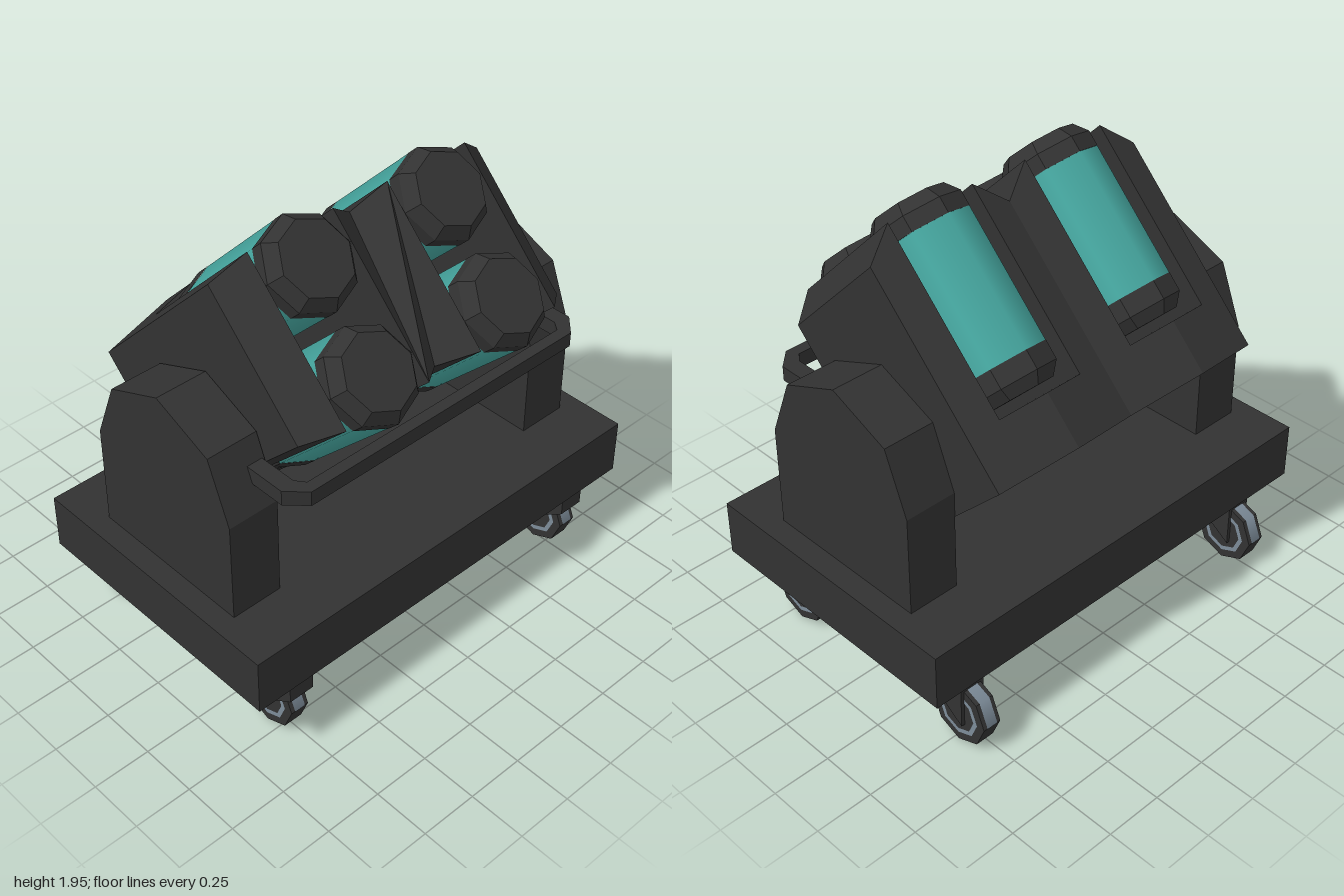
import * as THREE from 'three';

const dark = new THREE.MeshStandardMaterial({ color: 0x323232, flatShading: true });
dark.name = 'charcoal';
const teal = new THREE.MeshStandardMaterial({ color: 0x45a59e });
teal.name = 'teal';
const steel = new THREE.MeshStandardMaterial({ color: 0x7c8b98, side: THREE.DoubleSide });
steel.name = 'steel';

function add(parent, name, geometry, material) {
  const mesh = new THREE.Mesh(geometry, material);
  mesh.name = name;
  parent.add(mesh);
  return mesh;
}

function extrude(points, depth) {
  const shape = new THREE.Shape(points.map(([a, b]) => new THREE.Vector2(a, b)));
  return new THREE.ExtrudeGeometry(shape, { depth, bevelEnabled: false });
}

// Side profile given as [z, y], spanning x0 to x1
function sidePlate(points, x0, x1) {
  return extrude(points, x1 - x0).rotateY(-Math.PI / 2).translate(x1, 0, 0);
}

// Double-gabled section of the rack, with ridges above each canister column
const HALF = 0.675, RIDGE = 0.335;
const gable = (x) => 1 - Math.abs(Math.abs(x) - RIDGE) / 0.34;
const topAt = (x) => 1.24 + 0.079 * gable(x);
const bottomAt = (x) => 0.597 - 0.084 * gable(x);
const frontAt = (x) => 1.305 + 0.83 * Math.min(Math.abs(x), HALF - Math.abs(x));

function rackPiece(xs, back, front) {
  const outline = [
    ...xs.map((x) => [x, bottomAt(x)]),
    ...[...xs].reverse().map((x) => [x, topAt(x)]),
  ];
  const geometry = extrude(outline, 1);
  const p = geometry.attributes.position;
  for (let i = 0; i < p.count; i++) {
    p.setZ(i, p.getZ(i) > 0.5 ? front(p.getX(i)) : back);
  }
  geometry.computeVertexNormals();
  return geometry;
}

// Eight-sided turned part along the canister axis, profile as [radius, distance]
function turned(profile) {
  const pts = profile.map(([r, d]) => new THREE.Vector2(r, d));
  return new THREE.LatheGeometry(pts, 8).rotateX(Math.PI / 2);
}

function makeCanister() {
  const canister = new THREE.Group();
  canister.name = 'canister';
  add(canister, 'canisterRearCap', turned([[0, 0.66], [0.155, 0.66], [0.197, 0.71], [0.197, 0.79]]), dark);
  add(canister, 'canisterBody', turned([[0.196, 0.79], [0.196, 1.35]]), teal);
  add(canister, 'canisterFrontCap', turned([[0.197, 1.35], [0.197, 1.415], [0.155, 1.47], [0, 1.47]]), dark);
  return canister;
}

function makeCaster() {
  const caster = new THREE.Group();
  caster.name = 'caster';
  // Fork: solid block above, two cheeks around the wheel
  add(caster, 'casterBlock', sidePlate(
    [[-0.035, 0.2], [0.155, 0.23], [0.155, 0.345], [-0.035, 0.345]], -0.058, 0.058), dark);
  for (const s of [-1, 1]) {
    const x = s * 0.05;
    add(caster, 'casterCheek', sidePlate(
      [[-0.035, 0.1], [0.155, 0.23], [0.155, 0.345], [-0.035, 0.345]], x - 0.008, x + 0.008), dark);
  }
  const wheel = new THREE.Group();
  wheel.name = 'wheel';
  wheel.position.y = 0.142;
  caster.add(wheel);
  add(wheel, 'tyre', new THREE.CylinderGeometry(0.142, 0.142, 0.084, 8).rotateZ(Math.PI / 2), dark);
  // Thin steel strip on the upper tread and rings on both sides
  add(wheel, 'treadStrip', new THREE.CylinderGeometry(0.144, 0.144, 0.05, 4, 1, true, 0, Math.PI)
    .rotateZ(Math.PI / 2), steel);
  for (const s of [-1, 1]) {
    add(wheel, 'wheelRing', new THREE.RingGeometry(0.085, 0.105, 8)
      .rotateY(s * Math.PI / 2).translate(s * 0.044, 0, 0), steel);
  }
  return caster;
}

export function createModel() {
  const model = new THREE.Group();
  model.name = 'canisterCart';

  // Platform
  add(model, 'platform', new THREE.BoxGeometry(2, 0.245, 1.235).translate(0, 0.4675, 0.0125), dark);

  // Casters
  for (const x of [-0.762, 0.78]) {
    for (const z of [0.44, -0.52]) {
      const caster = makeCaster();
      caster.position.set(x, 0, z);
      model.add(caster);
    }
  }

  // Side supports with faceted round tops
  const supportProfile = [
    [-0.365, 0.59], [0.39, 0.59], [0.39, 1.03], [0.285, 1.29],
    [0.012, 1.405], [-0.26, 1.29], [-0.365, 1.03],
  ];
  add(model, 'leftSupport', sidePlate(supportProfile, 0.676, 0.903), dark);
  add(model, 'rightSupport', sidePlate(supportProfile, -0.907, -0.68), dark);

  // Tilted rack: solid rear block and three forward walls
  const rack = new THREE.Group();
  rack.name = 'tiltedRack';
  rack.rotation.x = -Math.PI / 4;
  model.add(rack);
  add(rack, 'rackBlock', rackPiece([-HALF, -RIDGE, 0, RIDGE, HALF], 0.392, () => 0.62), dark);
  add(rack, 'rackCentreWall', rackPiece([-0.135, 0, 0.135], 0.62, frontAt), dark);
  add(rack, 'rackLeftWall', rackPiece([0.54, HALF], 0.62, frontAt), dark);
  add(rack, 'rackRightWall', rackPiece([-HALF, -0.54], 0.62, frontAt), dark);

  // Two columns of two canisters
  for (const x of [-RIDGE, RIDGE]) {
    for (const height of [0.688, 1.138]) {
      const canister = makeCanister();
      canister.position.set(x, height, 0);
      rack.add(canister);
    }
  }

  // Handrail around the front
  const outer = [[0.76, 0.2], [0.76, 0.505], [0.685, 0.58]];
  const inner = [[0.66, 0.53], [0.69, 0.49], [0.69, 0.2]];
  const flip = (pts) => pts.map(([x, z]) => [-x, z]).reverse();
  add(model, 'handrail', extrude([...outer, ...flip(outer), ...flip(inner), ...inner], 0.065)
    .rotateX(Math.PI / 2).translate(0, 1.195, 0), dark);

  return model;
}
